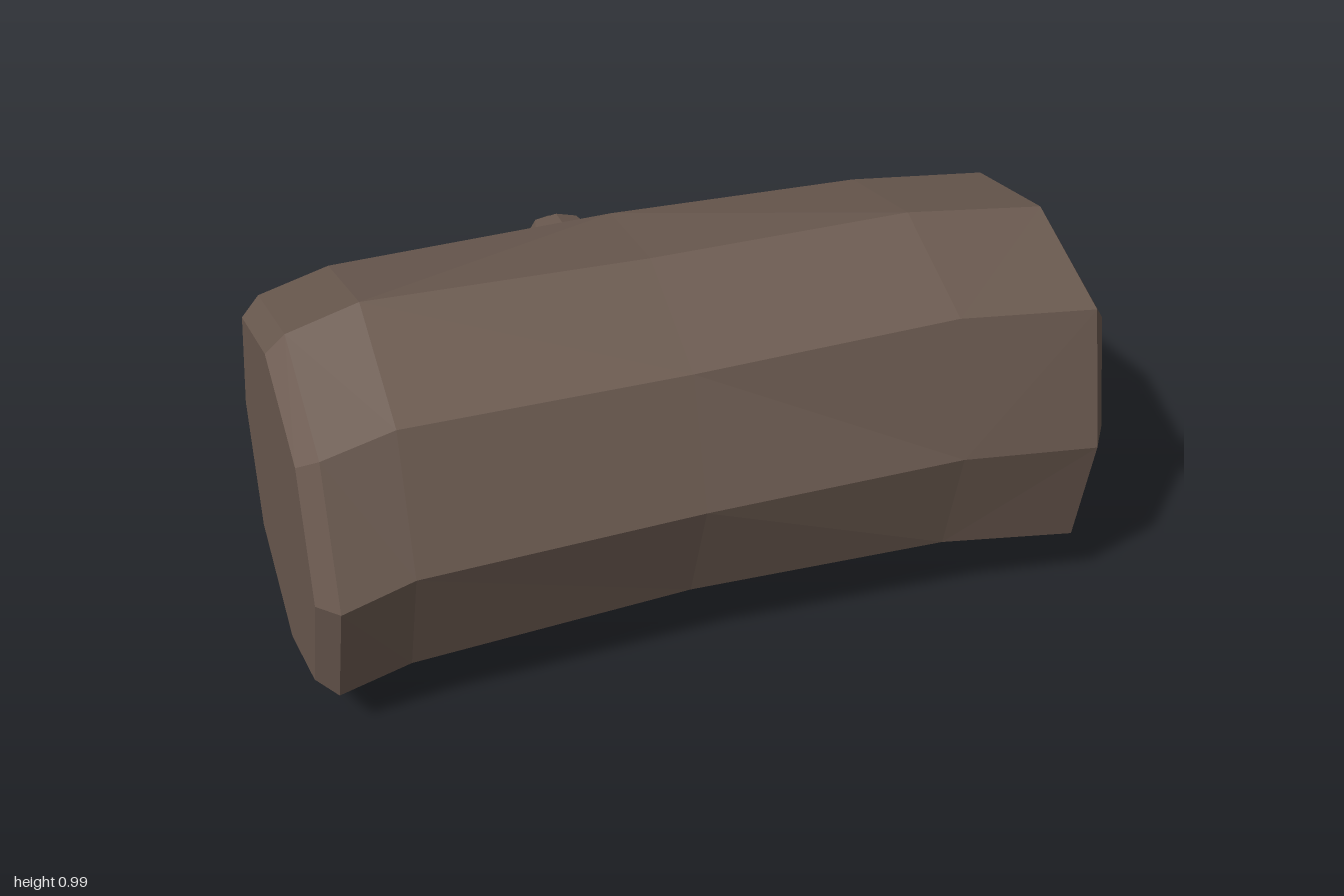
import * as THREE from 'three';

const bark = new THREE.MeshStandardMaterial({ color: 0x6b5a50, flatShading: true });

// Skin closed rings of [x, y, z] points; each quad is split along its shorter diagonal
function loft(rings, capStart, capEnd) {
  const R = rings.map(r => r.map(p => new THREE.Vector3(...p)));
  const n = R[0].length, pos = [];
  const tri = (...pts) => pts.forEach(p => pos.push(p.x, p.y, p.z));
  for (let i = 0; i < R.length - 1; i++) {
    for (let j = 0; j < n; j++) {
      const k = (j + 1) % n;
      const a = R[i][j], b = R[i][k], c = R[i + 1][k], d = R[i + 1][j];
      if (a.distanceTo(c) < b.distanceTo(d)) { tri(a, b, c); tri(a, c, d); }
      else { tri(a, b, d); tri(b, c, d); }
    }
  }
  const cap = (ring, flip) => {
    for (let j = 1; j < n - 1; j++) {
      if (flip) tri(ring[0], ring[j + 1], ring[j]);
      else tri(ring[0], ring[j], ring[j + 1]);
    }
  };
  if (capStart) cap(R[0], true);
  if (capEnd) cap(R[R.length - 1], false);
  const g = new THREE.BufferGeometry();
  g.setAttribute('position', new THREE.Float32BufferAttribute(pos, 3));
  g.computeVertexNormals();
  return g;
}

// Trunk ring: [z, y] pairs running top, front, bottom, back; backX shifts the rearmost corner
const ring = (x, pts, backX = x) => pts.map(([z, y], i) => [i === 6 ? backX : x, y, z]);

export function createModel() {
  const group = new THREE.Group();
  group.name = 'log';
  const add = (name, geometry) => {
    const mesh = new THREE.Mesh(geometry, bark);
    mesh.name = name;
    group.add(mesh);
  };

  // Eight-sided trunk, slightly waisted, with bevelled ends
  const trunk = [
    ring(-1, [[.25, .9], [.56, .79], [.67, .475], [.56, .165], [.25, .05], [-.08, .16], [-.185, .475], [-.09, .79]]),
    ring(-.95, [[.25, .945], [.595, .82], [.72, .475], [.6, .135], [.255, .005], [-.12, .125], [-.235, .475], [-.13, .82]]),
    ring(-.77, [[.245, .995], [.59, .865], [.71, .525], [.595, .185], [.25, .055], [-.13, .17], [-.25, .525], [-.14, .865]], -.47),
    ring(-.06, [[.245, .98], [.57, .855], [.68, .53], [.57, .215], [.25, .09], [-.14, .2], [-.15, .53], [-.08, .92]]),
    ring(.6, [[.25, .99], [.59, .89], [.675, .535], [.59, .22], [.255, .105], [-.1, .2], [-.21, .53], [-.1, .89]], .34),
    ring(.95, [[.27, .955], [.61, .86], [.69, .505], [.61, .18], [.27, .07], [-.07, .13], [-.165, .505], [-.08, .86]]),
    ring(1, [[.27, .865], [.55, .79], [.61, .505], [.55, .22], [.27, .16], [0, .22], [-.08, .505], [0, .79]]),
  ];
  add('trunk', loft(trunk, true, true));

  // Flared root of the branch, spreading from the collar to the trunk edges
  const corners = [[-.06, .92, -.08], [.34, .53, -.21], [-.06, .2, -.14], [-.47, .525, -.25]];
  const skirt = corners.flatMap((p, i) => {
    const q = corners[(i + 1) % 4];
    return [p, p.map((v, k) => (v + q[k]) / 2)];
  });
  const oval = (cx, z, rx, ry) => Array.from({ length: 8 }, (_, i) => {
    const a = i * Math.PI / 4;
    return [cx + rx * Math.sin(a), .53 + ry * Math.cos(a), z - .06 * (rx * Math.sin(a) < 0 ? .2 : 0)];
  });
  const collar = oval(-.055, -.31, .2, .14);
  add('branchRoot', loft([skirt, collar], false, false));

  // Tapering snapped branch with a pointed tip
  add('branch', loft([
    collar,
    oval(-.05, -.49, .13, .09),
    oval(-.04, -.66, .08, .055),
    oval(-.035, -.73, .004, .004),
  ], false, true));

  return group;
}
